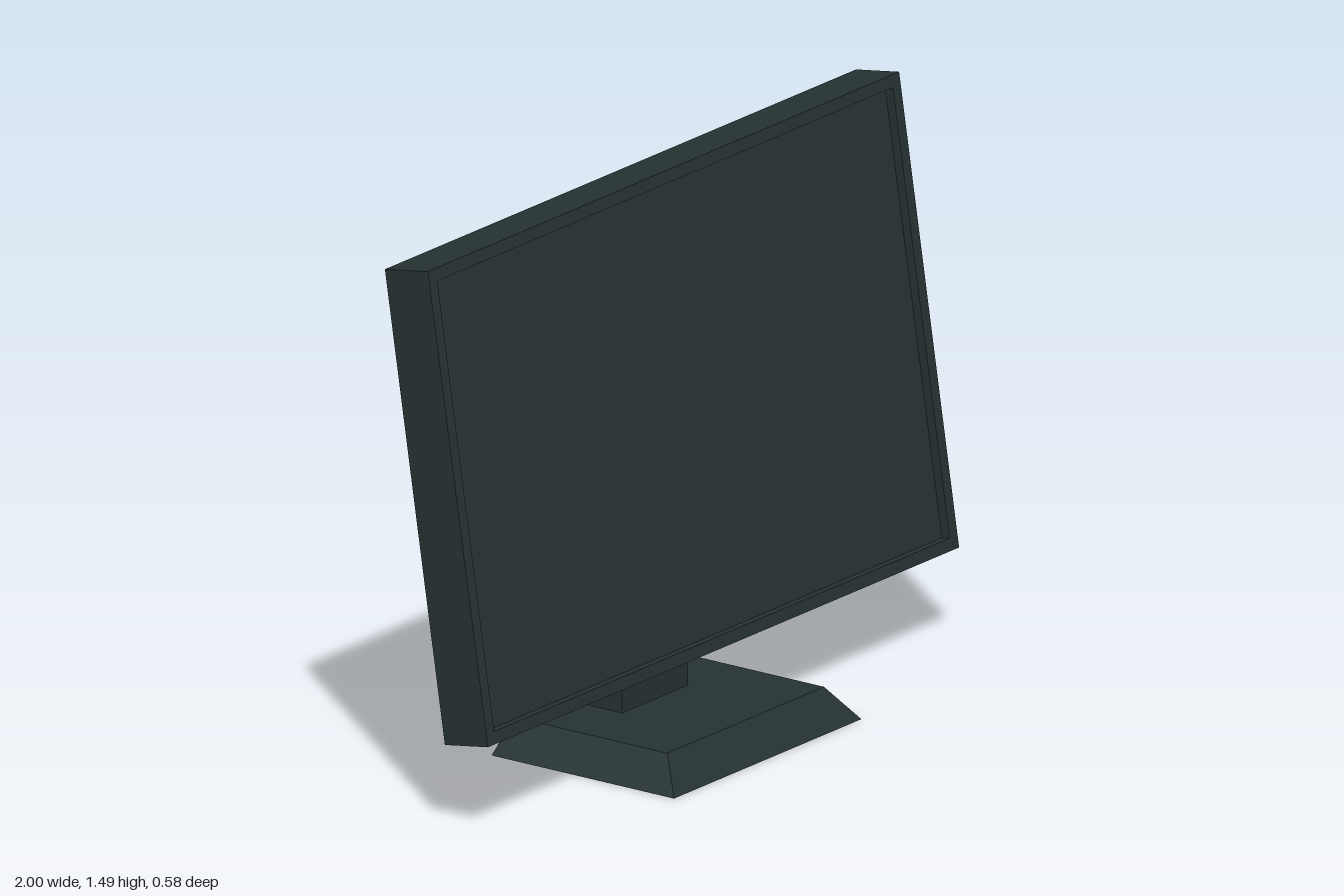
import * as THREE from 'three';

export function createModel() {
  const group = new THREE.Group();
  const casing = new THREE.MeshStandardMaterial({ color: 0x263232, flatShading: true });
  casing.name = 'dark casing';

  const add = (name, geometry, parent = group) => {
    const mesh = new THREE.Mesh(geometry, casing);
    mesh.name = name;
    parent.add(mesh);
    return mesh;
  };
  const rect = (Type, w, h) => new Type([[-w, -h], [w, -h], [w, h], [-w, h]]
    .map(([x, y]) => new THREE.Vector2(x / 2, y / 2)));

  // Tilted display: a bezel ring in front of a solid back housing
  const W = 2, H = 1.25, D = 0.138, recess = 0.025, border = 0.033;
  const display = new THREE.Group();
  display.name = 'display';
  display.position.set(0, 0.86, -0.045);
  display.rotation.x = -Math.atan2(0.19, 1.235);
  group.add(display);

  const frame = rect(THREE.Shape, W, H);
  frame.holes.push(rect(THREE.Path, W - 2 * border, H - 2 * border));
  const ring = new THREE.ExtrudeGeometry(frame, { depth: D, bevelEnabled: false });
  add('bezel', ring.translate(0, 0, -D / 2), display);
  const inner = new THREE.BoxGeometry(W - 2 * border, H - 2 * border, D - recess);
  add('screen', inner.translate(0, 0, -recess / 2), display);

  // Post: side profile (z, y) extruded across x, with its neck meeting the display
  const profile = [[-0.185, 0.09], [-0.065, 0.09], [-0.065, 0.465], [-0.045, 0.465],
    [-0.068, 0.6], [-0.102, 0.6], [-0.185, 0.525]];
  const side = new THREE.Shape(profile.map(([z, y]) => new THREE.Vector2(-z, y)));
  const post = new THREE.ExtrudeGeometry(side, { depth: 0.28, bevelEnabled: false });
  add('post', post.rotateY(Math.PI / 2).translate(-0.185, 0, 0));

  // Base: a box whose top is drawn in, more at the front than at the back
  const base = new THREE.BoxGeometry(1, 0.09, 1).translate(0, 0.045, 0);
  const p = base.attributes.position;
  for (let i = 0; i < p.count; i++) {
    const top = p.getY(i) > 0.01;
    p.setX(i, p.getX(i) < 0 ? (top ? -0.375 : -0.44) : (top ? 0.29 : 0.355));
    p.setZ(i, p.getZ(i) < 0 ? (top ? -0.265 : -0.288) : (top ? 0.22 : 0.29));
  }
  base.computeVertexNormals();
  add('base', base);

  return group;
}
